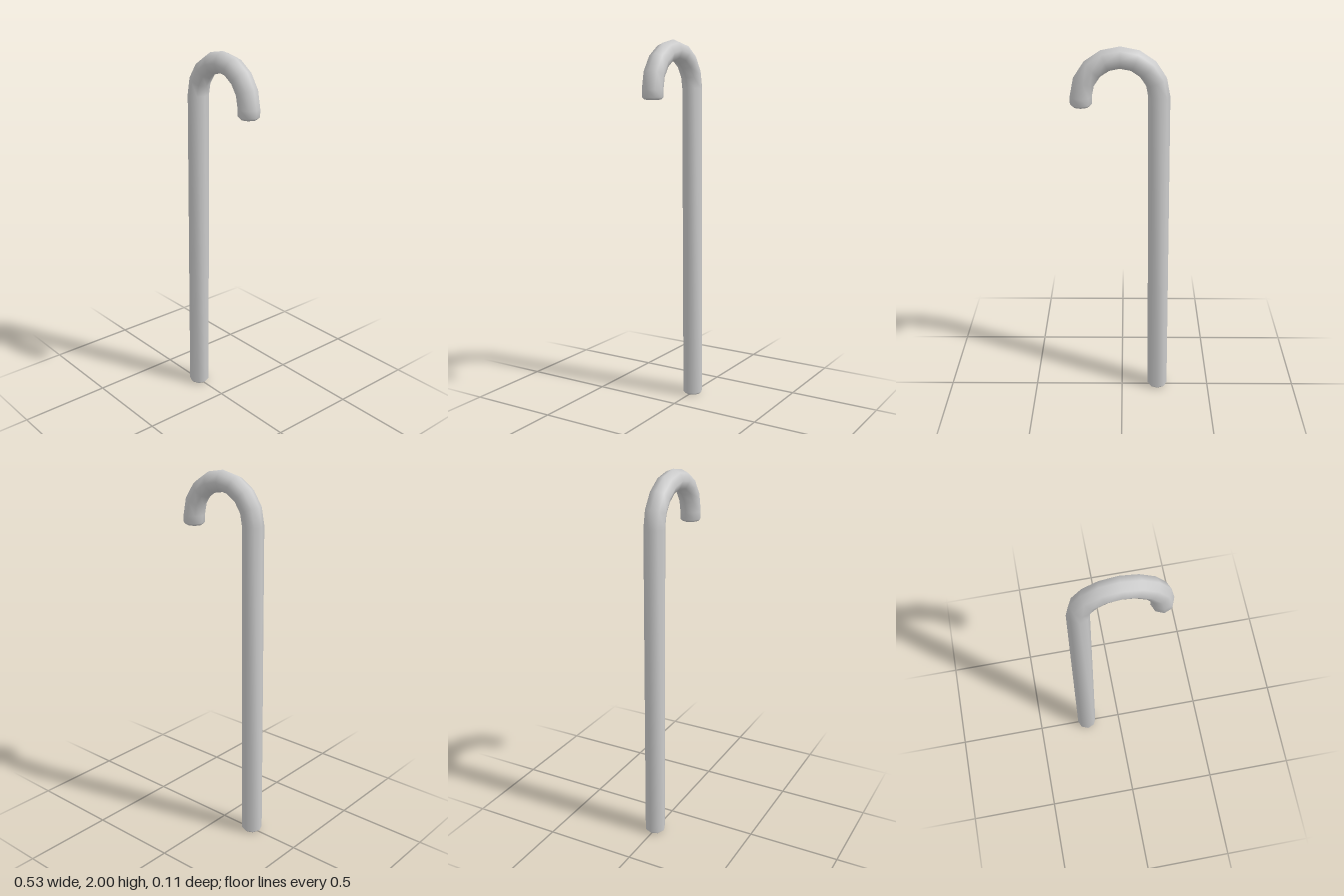
import * as THREE from 'three';

const SIDES = 8, R = 0.056, BEVEL = 0.012;

// Sweeps an octagonal section along stations [x, y, radius, tangent angle], closed by end caps
function sweep(stations) {
  const pos = [], index = [];
  for (const [x, y, r, t] of stations) {
    for (let j = 0; j < SIDES; j++) {
      const a = (j / SIDES) * Math.PI * 2;
      const d = r * Math.cos(a);
      pos.push(x + d * Math.sin(t), y - d * Math.cos(t), r * Math.sin(a));
    }
  }
  const last = stations.length - 1;
  for (let i = 0; i < last; i++) {
    for (let j = 0; j < SIDES; j++) {
      const k = (j + 1) % SIDES;
      const a = i * SIDES + j, b = i * SIDES + k;
      index.push(a, a + SIDES, b + SIDES, a, b + SIDES, b);
    }
  }
  const c0 = pos.length / 3;
  pos.push(stations[0][0], stations[0][1], 0, stations[last][0], stations[last][1], 0);
  for (let j = 0; j < SIDES; j++) {
    const k = (j + 1) % SIDES;
    index.push(c0, j, k, c0 + 1, last * SIDES + k, last * SIDES + j);
  }
  const geo = new THREE.BufferGeometry();
  geo.setAttribute('position', new THREE.Float32BufferAttribute(pos, 3));
  geo.setIndex(index);
  geo.computeVertexNormals();
  return geo;
}

export function createModel() {
  const group = new THREE.Group();
  group.name = 'walkingCane';
  const up = Math.PI / 2;
  const cx = 0.011, cy = 1.746, bend = 0.198, steps = 8;

  // Slightly leaning shaft with a bevelled foot
  const stations = [
    [-0.206, 0, R - BEVEL, up],
    [-0.206, BEVEL, R, up],
  ];
  // Half-circle crook
  for (let i = 0; i <= steps; i++) {
    const a = Math.PI * (1 - i / steps);
    stations.push([cx + bend * Math.cos(a), cy + bend * Math.sin(a), R, a - up]);
  }
  // Short bevelled tip
  stations.push([cx + bend, 1.695 + BEVEL, R, -up], [cx + bend, 1.695, R - BEVEL, -up]);

  const cane = new THREE.Mesh(sweep(stations), new THREE.MeshStandardMaterial({ color: 0xcccccc }));
  cane.name = 'shaftAndCrook';
  group.add(cane);
  return group;
}
